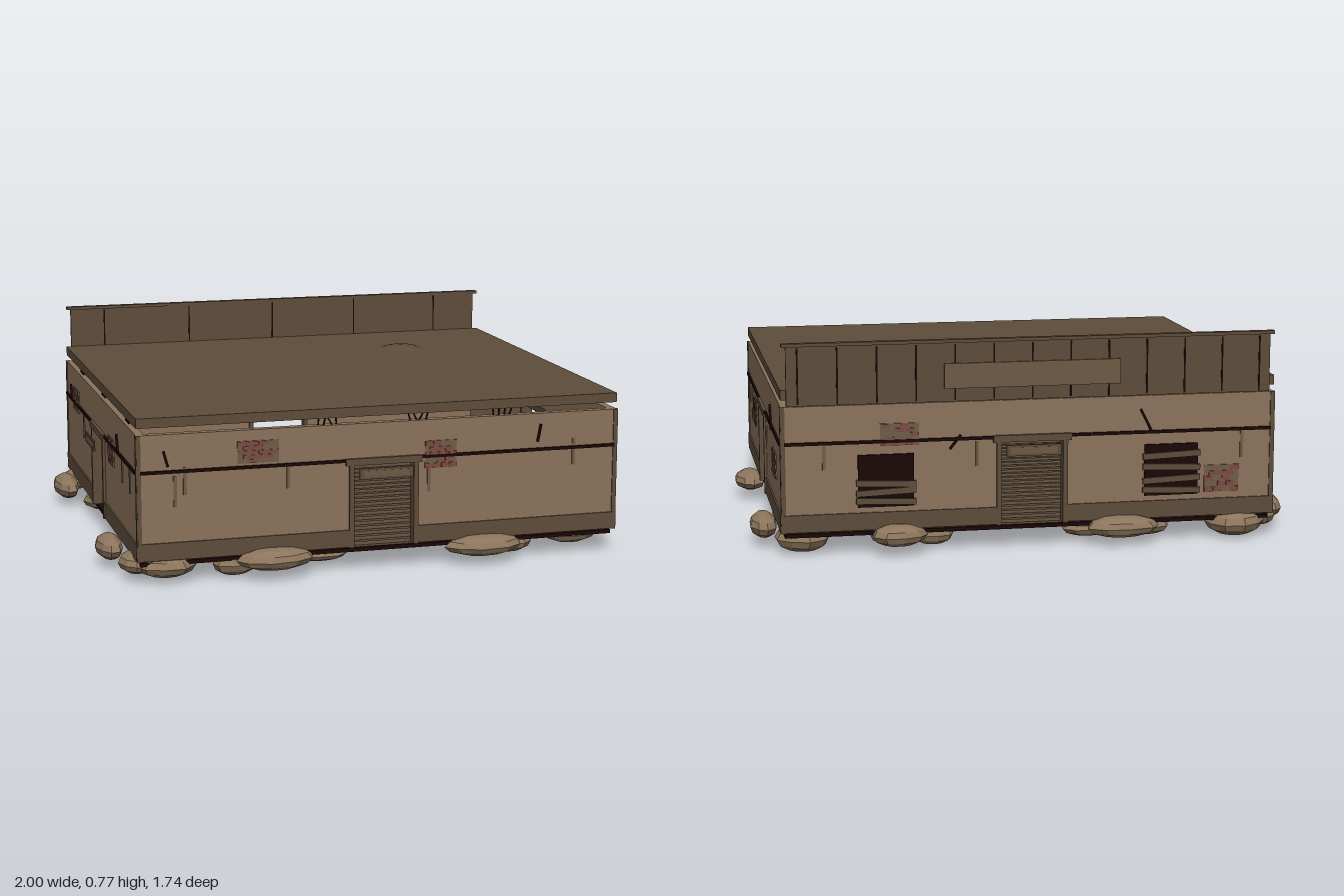
import * as THREE from 'three';

const mat = (name, color, flatShading = false) => {
  const m = new THREE.MeshStandardMaterial({ color, flatShading });
  m.name = name;
  return m;
};

export function createModel() {
  const plaster = mat('plaster', 0x8b735b);
  const timber = mat('timber', 0x5e4d3a);
  const darkTimber = mat('dark timber', 0x493b2c);
  const soot = mat('soot', 0x1a0707);
  const stone = mat('stone', 0x8c755c, true);
  const brick = mat('brick', 0x7c4a40);
  const mortar = mat('mortar', 0x6f5d48);
  const signWood = mat('sign wood', 0x6e5a44);

  const model = new THREE.Group();
  model.name = 'building';

  const box = (parent, name, material, w, h, d, x, y, z, tilt = 0) => {
    const m = new THREE.Mesh(new THREE.BoxGeometry(w, h, d), material);
    m.name = name;
    m.position.set(x, y, z);
    m.rotation.z = tilt;
    parent.add(m);
    return m;
  };
  let seed = 7;
  const rand = () => (seed = (seed * 16807) % 2147483647) / 2147483647;

  // Floor slab with planks, roof slab with joists
  box(model, 'floorSlab', soot, 1.78, 0.014, 1.54, 0, 0.082, 0);
  for (let i = 0; i < 22; i++) {
    box(model, 'floorPlank', timber, 1.72, 0.008, 0.048, 0, 0.092, -0.735 + i * 0.07);
  }
  box(model, 'roofSlab', timber, 1.8, 0.035, 1.55, 0, 0.592, 0);
  for (let i = 0; i < 14; i++) {
    box(model, 'roofJoist', darkTimber, 1.7, 0.012, 0.035, 0, 0.569, -0.68 + i * 0.105);
  }

  // Patch of bare bricks where plaster has fallen off
  const brickPatch = (wall, x, y, w, h) => {
    const patch = new THREE.Group();
    patch.name = 'brickPatch';
    patch.position.set(x, y, 0.002);
    box(patch, 'mortarBed', mortar, w, h, 0.004, 0, 0, 0);
    const rows = 5, bw = w / 4, bh = h / rows;
    for (let r = 0; r < rows; r++) {
      const shift = r % 2 ? bw / 2 : 0;
      for (let c = 0; c < 4 - (r % 2); c++) {
        if (rand() < 0.3) continue;
        box(patch, 'brick', brick, bw * 0.92, bh * 0.82, 0.006,
          -w / 2 + bw * (c + 0.5) + shift, -h / 2 + bh * (r + 0.5), 0.002);
      }
    }
    wall.add(patch);
  };

  // Crack drawn between two points on the wall face
  const crack = (wall, x1, y1, x2, y2) => box(wall, 'crack', soot, Math.hypot(x2 - x1, y2 - y1),
    0.008, 0.008, (x1 + x2) / 2, (y1 + y2) / 2, 0.004, Math.atan2(y2 - y1, x2 - x1));

  // Boarded window
  const boardedWindow = (wall, x, boards) => {
    box(wall, 'windowOpening', soot, 0.2, 0.19, 0.006, x, 0.275, 0.003);
    boards.forEach((y, i) => box(wall, 'windowBoard', timber, 0.215, 0.022, 0.009,
      x, y, 0.009, (i % 2 ? 1 : -1) * 0.04));
  };

  // One wall; local x runs to the viewer's right, local z points outward
  const makeWall = (name, angle, half, dist, details) => {
    const wall = new THREE.Group();
    wall.name = name;
    wall.rotation.y = angle;
    wall.position.set(Math.sin(angle) * dist, 0, Math.cos(angle) * dist);
    const door = 0.118, top = 0.405;
    const shape = new THREE.Shape([
      [-half, 0.095], [-door, 0.095], [-door, top], [door, top],
      [door, 0.095], [half, 0.095], [half, 0.55], [-half, 0.55],
    ].map(([x, y]) => new THREE.Vector2(x, y)));
    const panel = new THREE.Mesh(
      new THREE.ExtrudeGeometry(shape, { depth: 0.03, bevelEnabled: false }), plaster);
    panel.name = 'wallPanel';
    panel.position.z = -0.03;
    wall.add(panel);

    // Skirting, dark rail, corner posts and door frame on both halves
    for (const s of [-1, 1]) {
      const len = half - door;
      box(wall, 'skirting', timber, len, 0.063, 0.008, s * (door + len / 2), 0.129, 0.002);
      box(wall, 'rail', soot, half - 0.15, 0.011, 0.01, s * (half + 0.13) / 2, 0.416, 0.003);
      box(wall, 'cornerPost', timber, 0.015, 0.455, 0.008, s * (half - 0.006), 0.3225, 0);
      box(wall, 'doorJamb', timber, 0.018, 0.305, 0.045, s * 0.121, 0.2475, -0.012);
    }
    box(wall, 'doorLintel', timber, 0.285, 0.025, 0.045, 0, 0.411, -0.01);

    // Sign hanging in front of the door
    box(wall, 'doorSign', timber, 0.2, 0.04, 0.005, 0, 0.372, 0.035);
    box(wall, 'signFace', signWood, 0.17, 0.024, 0.002, 0, 0.372, 0.038);

    for (const p of details.patches) brickPatch(wall, ...p);
    for (const c of details.cracks) crack(wall, ...c);
    for (const [x, y, h] of details.streaks) {
      box(wall, 'streak', mortar, 0.012, h, 0.004, x, y, 0.002);
    }
    // Bent wire ends standing on the wall top
    for (const x of details.wires) {
      for (let i = 0; i < 4; i++) {
        box(wall, 'wire', soot, 0.005, 0.026, 0.005,
          x + i * 0.022, 0.56, -0.015, (rand() - 0.5) * 1.2);
      }
    }
    model.add(wall);
    return wall;
  };

  makeWall('frontWall', 0, 0.9, 0.78, {
    patches: [[-0.465, 0.47, 0.15, 0.08], [0.215, 0.422, 0.12, 0.1]],
    cracks: [[-0.805, 0.49, -0.79, 0.435], [0.6, 0.51, 0.588, 0.445]],
    streaks: [[-0.765, 0.345, 0.11], [-0.73, 0.38, 0.1], [-0.355, 0.37, 0.08],
      [0.17, 0.33, 0.09], [0.73, 0.4, 0.1]],
    wires: [-0.24, 0.1, 0.42],
  });
  makeWall('leftWall', Math.PI / 2, 0.78, 0.9, {
    patches: [[-0.355, 0.335, 0.13, 0.08], [0.505, 0.295, 0.15, 0.09]],
    cracks: [[-0.43, 0.31, -0.405, 0.36], [0.355, 0.485, 0.4, 0.4]],
    streaks: [[-0.675, 0.37, 0.12], [-0.51, 0.36, 0.11], [0.15, 0.35, 0.1]],
    wires: [-0.58, -0.05, 0.55],
  });
  const backWall = makeWall('backWall', Math.PI, 0.9, 0.78, {
    patches: [[-0.48, 0.44, 0.14, 0.08], [0.705, 0.235, 0.13, 0.1]],
    cracks: [[-0.3, 0.38, -0.26, 0.43], [0.4, 0.5, 0.44, 0.42]],
    streaks: [[-0.75, 0.37, 0.1], [-0.2, 0.36, 0.09], [0.78, 0.36, 0.1]],
    wires: [],
  });
  boardedWindow(backWall, -0.53, [0.2, 0.235, 0.265]);
  boardedWindow(backWall, 0.515, [0.2, 0.24, 0.285, 0.33]);
  makeWall('rightWall', -Math.PI / 2, 0.78, 0.9, {
    patches: [[-0.53, 0.43, 0.14, 0.09], [0.27, 0.39, 0.12, 0.1]],
    cracks: [[-0.66, 0.47, -0.62, 0.41], [0.4, 0.48, 0.43, 0.41]],
    streaks: [[-0.35, 0.36, 0.1], [0.5, 0.37, 0.1], [0.65, 0.36, 0.09]],
    wires: [-0.5, 0, 0.5],
  });

  // Boarded parapet behind the roof, with a cap and a long blank sign
  box(model, 'parapet', timber, 1.76, 0.215, 0.012, 0, 0.66, -0.779);
  box(model, 'parapetCap', timber, 1.79, 0.012, 0.025, 0, 0.769, -0.779);
  for (let i = 0; i < 13; i++) {
    box(model, 'parapetSeam', soot, 0.006, 0.2, 0.002, -0.84 + i * 0.14, 0.658, -0.786);
  }
  for (let i = 0; i < 5; i++) {
    box(model, 'parapetSeam', soot, 0.005, 0.15, 0.002, -0.74 + i * 0.36, 0.686, -0.7725);
  }
  box(model, 'parapetSign', signWood, 0.64, 0.09, 0.008, 0, 0.645, -0.791);

  // Low-poly boulders: x, z, half sizes along x, y, z, and height
  const boulder = (name, x, y, z, rx, ry, rz, material = stone) => {
    const g = new THREE.SphereGeometry(1, 9, 6);
    const p = g.attributes.position;
    for (let i = 0; i < p.count; i++) {
      const a = Math.atan2(p.getZ(i), p.getX(i));
      const k = 1 + 0.06 * Math.sin(a * 3 + x * 9) * (1 - p.getY(i) ** 2);
      p.setXYZ(i, p.getX(i) * k * rx, p.getY(i) * ry, p.getZ(i) * k * rz);
    }
    g.computeVertexNormals();
    const m = new THREE.Mesh(g, material);
    m.name = name;
    m.position.set(x, y, z);
    model.add(m);
  };
  [
    [-0.41, 0.08, 0.8, 0.145, 0.04, 0.07], [0.38, 0.075, 0.8, 0.15, 0.038, 0.07],
    [-0.79, 0.065, 0.71, 0.11, 0.045, 0.1], [-0.89, 0.07, 0.67, 0.06, 0.04, 0.09],
    [-0.95, 0.08, 0.47, 0.05, 0.045, 0.105], [-0.54, 0.055, 0.72, 0.085, 0.045, 0.06],
    [-0.22, 0.06, 0.7, 0.11, 0.025, 0.06], [0.52, 0.05, 0.68, 0.09, 0.04, 0.06],
    [0.76, 0.065, 0.68, 0.1, 0.035, 0.07], [0.94, 0.075, 0.25, 0.06, 0.037, 0.125],
    [0.82, 0.06, 0.36, 0.08, 0.03, 0.09], [0.95, 0.08, -0.55, 0.05, 0.045, 0.115],
    [0.82, 0.058, -0.69, 0.1, 0.05, 0.085], [0.84, 0.06, -0.33, 0.06, 0.035, 0.07],
    [0.49, 0.08, -0.81, 0.1, 0.04, 0.065], [0.5, 0.05, -0.65, 0.08, 0.04, 0.06],
    [0.35, 0.055, -0.7, 0.075, 0.04, 0.06], [-0.33, 0.075, -0.8, 0.135, 0.04, 0.07],
    [-0.22, 0.055, -0.71, 0.1, 0.03, 0.06], [-0.44, 0.055, -0.71, 0.09, 0.035, 0.06],
    [-0.77, 0.06, -0.74, 0.11, 0.05, 0.085], [-0.89, 0.07, -0.67, 0.055, 0.04, 0.08],
    [-0.95, 0.075, -0.54, 0.05, 0.045, 0.13], [-0.84, 0.055, -0.34, 0.07, 0.035, 0.09],
  ].forEach((r) => boulder('boulder', ...r));

  // Mound pushing through the roof
  boulder('roofMound', 0.43, 0.583, -0.38, 0.125, 0.039, 0.12, timber);

  return model;
}
